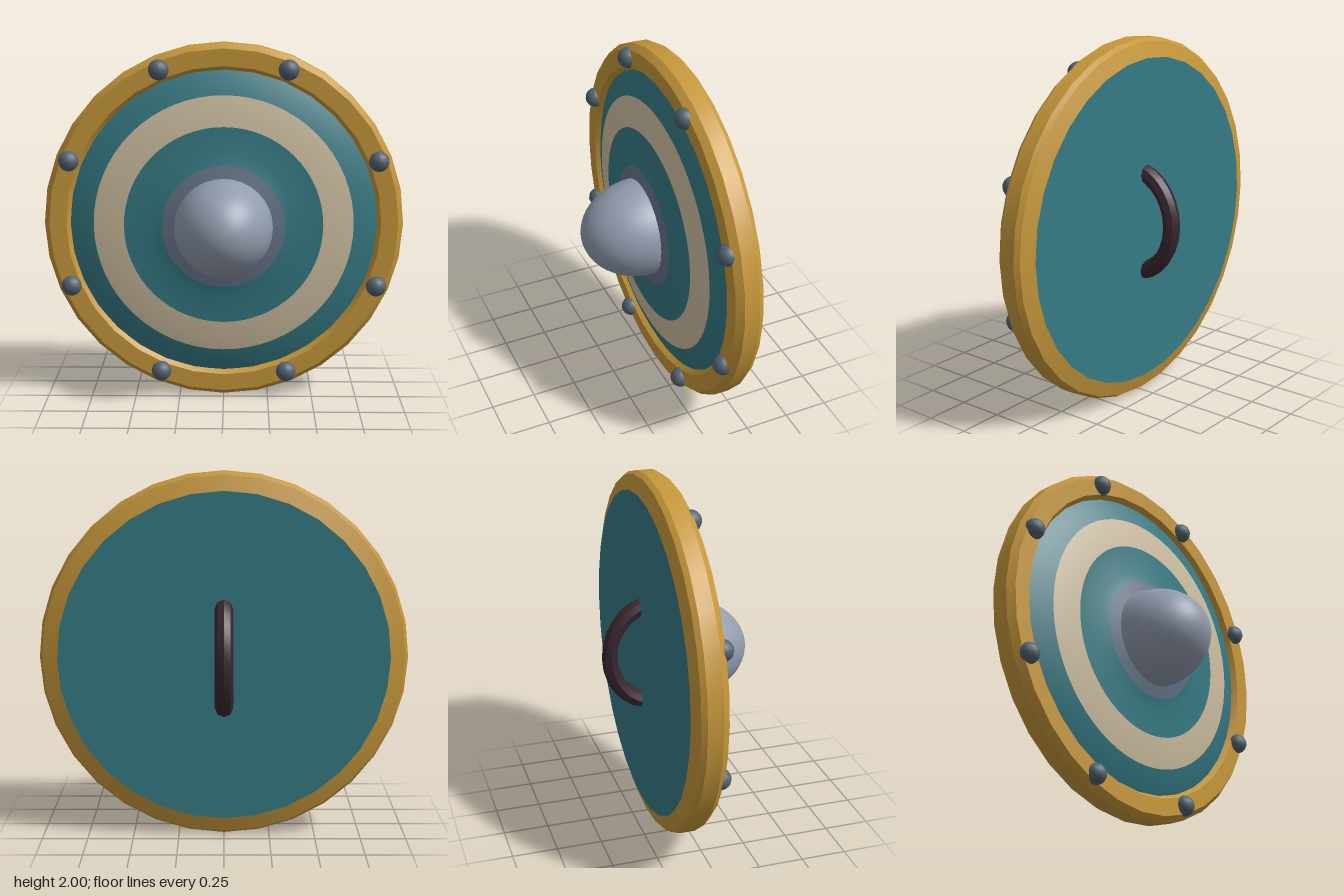
import * as THREE from 'three';
import { toCreasedNormals } from 'three/addons/utils/BufferGeometryUtils.js';

const mat = (name, color) => {
  const m = new THREE.MeshStandardMaterial({ color });
  m.name = name;
  return m;
};

export function createModel() {
  const gold = mat('gold', 0xc6973a);
  const teal = mat('teal', 0x357a84);
  const cream = mat('cream', 0xcfbfa2);
  const steel = mat('steel', 0x929cae);
  const collarGrey = mat('collar grey', 0x657487);
  const iron = mat('iron', 0x52636f);
  const leather = mat('dark leather', 0x38262f);

  const shield = new THREE.Group();
  shield.name = 'shield';
  const body = new THREE.Group();
  body.name = 'shieldBody';
  body.position.y = 1;
  shield.add(body);

  const add = (name, geometry, material) => {
    const mesh = new THREE.Mesh(geometry, material);
    mesh.name = name;
    body.add(mesh);
    return mesh;
  };

  // Profiles are [radius, z] pairs turned around the z axis
  const turned = (name, profile, material, segments = 32, crease = 0.45) => {
    const points = profile.map(([r, z]) => new THREE.Vector2(r, z));
    const geometry = new THREE.LatheGeometry(points, segments).rotateX(Math.PI / 2);
    return add(name, toCreasedNormals(geometry, crease), material);
  };

  // Bevelled metal rim
  turned('rim', [
    [0.9, -0.195], [0.983, -0.167], [1, -0.14], [1, -0.055], [0.97, -0.018],
    [0.875, -0.018], [0.845, -0.06],
  ], gold, 32, 0.35);

  // Gently domed face, in painted rings
  turned('outerRing', [[0.87, -0.055], [0.8, -0.022], [0.72, 0.002]], teal, 64);
  turned('paleRing', [[0.72, 0.002], [0.64, 0.019], [0.55, 0.03]], cream, 64);
  turned('innerRing', [[0.55, 0.03], [0.4, 0.037], [0.34, 0.052]], teal, 64);
  turned('collar', [[0.34, 0.052], [0.265, 0.068]], collarGrey, 64);

  // Flat back board
  turned('backBoard', [[0, -0.195], [0.9, -0.195]], teal);

  // Central boss
  const dome = new THREE.SphereGeometry(0.272, 32, 12, 0, Math.PI * 2, 0, Math.PI / 2);
  dome.rotateX(Math.PI / 2).scale(1, 1, 1.26);
  add('boss', dome, steel).position.z = 0.065;

  // Eight rivets around the rim
  const rivetGeometry = new THREE.SphereGeometry(0.057, 14, 10);
  for (let i = 0; i < 8; i++) {
    const angle = (i + 0.5) * Math.PI / 4;
    add('rivet', rivetGeometry, iron)
      .position.set(Math.cos(angle) * 0.925, Math.sin(angle) * 0.925, -0.02);
  }

  // Curved grip on the back, its ends sunk into the board
  const grip = new THREE.TorusGeometry(0.29, 0.05, 8, 14, Math.PI);
  grip.rotateZ(Math.PI / 2).rotateY(-Math.PI / 2).scale(1, 1, 0.88);
  // The half ring must bulge towards the back
  grip.computeBoundingBox();
  if (grip.boundingBox.max.z > 0.2) grip.rotateY(Math.PI);
  add('grip', toCreasedNormals(grip, 0.6), leather).position.z = -0.11;

  return shield;
}
